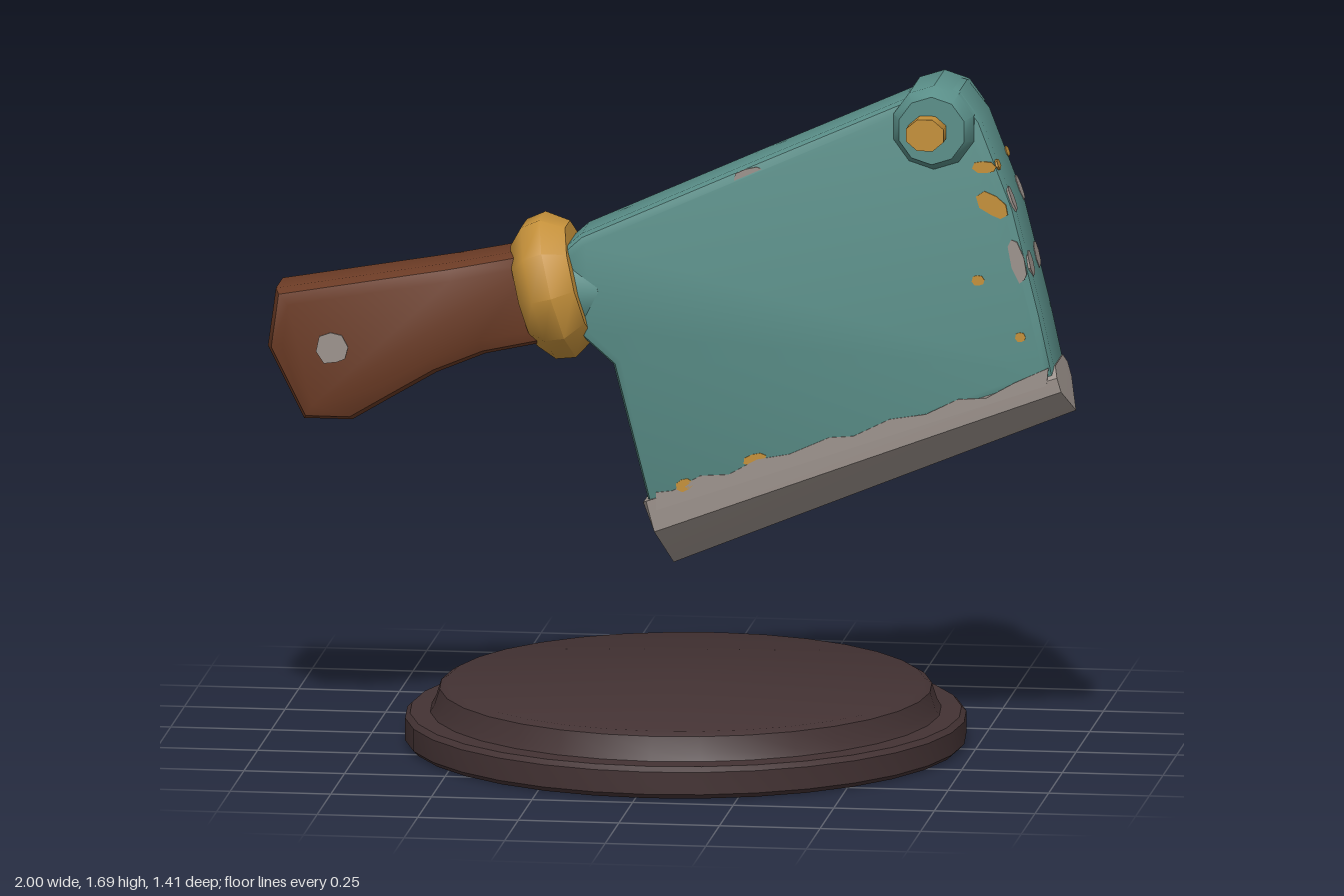
import * as THREE from 'three';
import { toCreasedNormals } from 'three/addons/utils/BufferGeometryUtils.js';
import { ConvexGeometry } from 'three/addons/geometries/ConvexGeometry.js';

const material = (name, color) => {
  const m = new THREE.MeshStandardMaterial({ color });
  m.name = name;
  return m;
};

export function createModel() {
  const model = new THREE.Group();
  const teal = material('tealPaint', 0x5a8f89);
  const steel = material('bareSteel', 0x9c928c);
  const gold = material('gold', 0xc4903a);
  const wood = material('brownWood', 0x6b3b25);
  const dark = material('darkWood', 0x433233);

  const add = (name, geometry, mat, crease = 0.7) => {
    const mesh = new THREE.Mesh(toCreasedNormals(geometry, crease), mat);
    mesh.name = name;
    model.add(mesh);
    return mesh;
  };
  const shapeOf = (pts) => new THREE.Shape(pts.map(([x, y]) => new THREE.Vector2(x, y)));
  const lathe = (pts, sides) =>
    new THREE.LatheGeometry(pts.map(([r, y]) => new THREE.Vector2(r, y)), sides);
  // Solid slab with softened rims, centred on z = 0, that keeps its outline
  const slab = (pts, half, bevel, steps) => {
    const g = new THREE.ExtrudeGeometry(shapeOf(pts), {
      depth: 2 * (half - bevel), bevelThickness: bevel, bevelSize: bevel,
      bevelOffset: -bevel, bevelSegments: steps,
    });
    return g.translate(0, 0, bevel - half);
  };

  // Stepped round stand
  const stand = add('stand', lathe([
    [0, 0], [0.68, 0], [0.692, 0.012], [0.692, 0.068], [0.68, 0.08], [0.63, 0.082],
    [0.62, 0.1], [0.607, 0.14], [0.59, 0.15], [0, 0.15],
  ], 32), dark, 0.6);
  stand.position.x = 0.03;
  stand.scale.z = 1.02;

  // Painted blade
  add('blade', slab([
    [-0.045, 0.59], [0.96, 0.96], [0.925, 1.12], [0.86, 1.38], [0.775, 1.6], [0.72, 1.67],
    [0.65, 1.682], [0.58, 1.645], [0.2, 1.475], [-0.22, 1.285], [-0.27, 1.24],
    [-0.22, 1.03], [-0.14, 0.96],
  ], 0.098, 0.025, 2), teal);

  // Flared neck where the blade meets the guard
  const neck = add('bladeNeck', new THREE.CylinderGeometry(0.1, 0.13, 0.08, 10), teal);
  neck.position.set(-0.215, 1.14, 0);
  neck.rotation.z = -Math.PI / 2 + 0.24;

  // Wedge-shaped cutting edge
  const edgePoints = [[0, 0.45], [1, 0.86]].map(([x, y]) => new THREE.Vector3(x, y, 0));
  for (const s of [-1, 1]) {
    for (const [x, y, z] of [
      [-0.065, 0.615, 0.08], [-0.055, 0.622, 0.1], [-0.035, 0.545, 0.098],
      [0.958, 0.985, 0.07], [0.966, 0.96, 0.1], [0.976, 0.925, 0.098],
    ]) edgePoints.push(new THREE.Vector3(x, y, z * s));
  }
  add('cuttingEdge', new ConvexGeometry(edgePoints), steel, 0.5);

  // Ragged paint line above the cutting edge, on both faces
  const ragged = [
    [-0.03, 0.6], [0.94, 0.94], [0.945, 0.985], [0.86, 0.945], [0.79, 0.905], [0.72, 0.9],
    [0.64, 0.86], [0.55, 0.845], [0.46, 0.8], [0.4, 0.795], [0.3, 0.75], [0.22, 0.735],
    [0.15, 0.695], [0.08, 0.69], [0.01, 0.65], [-0.03, 0.645],
  ];
  for (const s of [-1, 1]) {
    const g = new THREE.ExtrudeGeometry(shapeOf(ragged), { depth: 0.004, bevelEnabled: false });
    add('paintLine', g, steel).position.z = s * 0.099 - 0.002;
  }

  // Corner boss and the pin through it
  const boss = add('cornerBoss', lathe([
    [0, -0.142], [0.085, -0.142], [0.105, -0.1], [0.105, 0.1], [0.085, 0.142], [0, 0.142],
  ], 10).rotateX(Math.PI / 2), teal, 0.6);
  boss.position.set(0.66, 1.582, 0);
  const pin = add('cornerPin', new THREE.CylinderGeometry(0.05, 0.05, 0.38, 8, 1)
    .rotateY(Math.PI / 8).rotateX(Math.PI / 2), gold, 0.9);
  pin.position.set(0.65, 1.58, 0);
  pin.scale.y = 0.85;

  // Gold guard ring
  const guard = add('guard', lathe([
    [0, -0.075], [0.135, -0.075], [0.178, -0.035], [0.186, 0.015], [0.15, 0.07], [0, 0.075],
  ], 10), gold, 0.9);
  guard.position.set(-0.295, 1.137, 0);
  guard.rotation.z = -Math.PI / 2 + 0.26;

  // Wooden handle
  add('handle', slab([
    [-0.91, 0.8], [-0.79, 0.8], [-0.69, 0.86], [-0.58, 0.925], [-0.46, 0.975], [-0.3, 1.01],
    [-0.3, 1.25], [-0.55, 1.2], [-0.98, 1.125], [-1, 0.98],
  ], 0.102, 0.04, 2), wood);

  // Thin irregular chips of worn paint
  const blob = [[1, 0.1], [0.6, 0.8], [-0.1, 0.95], [-0.8, 0.7], [-1, -0.2], [-0.5, -0.9], [0.3, -0.8], [0.8, -0.6]];
  const chip = (name, mat, w, h, x, y, z, ry = 0, rz = 0) => {
    const g = new THREE.ExtrudeGeometry(shapeOf(blob.map(([a, b]) => [a * w, b * h])), {
      depth: 0.006, bevelEnabled: false,
    });
    g.translate(0, 0, -0.003);
    const mesh = add(name, g, mat);
    mesh.position.set(x, y, z);
    mesh.rotation.set(0, ry, rz, 'ZYX');
  };
  for (const s of [-1, 1]) {
    const z = s * 0.098;
    for (const [w, h, x, y, rz] of [
      [0.03, 0.016, 0.785, 1.485, 0], [0.045, 0.026, 0.805, 1.39, -0.6],
      [0.016, 0.014, 0.77, 1.2, 0], [0.013, 0.013, 0.875, 1.06, 0],
      [0.03, 0.014, 0.215, 0.735, 0.3], [0.022, 0.016, 0.04, 0.665, 0.4],
    ]) chip('goldChip', gold, w, h, x, y, z, 0, rz);
    chip('steelChip', steel, 0.018, 0.06, 0.868, 1.25, z, 0, 0.25);
    // Chips on the narrow front end of the blade
    chip('endSteelChip', steel, 0.022, 0.035, 0.85, 1.402, s * 0.068, Math.PI / 2, 0.36);
    chip('endGoldChip', gold, 0.02, 0.014, 0.817, 1.49, s * 0.08, Math.PI / 2, 0.37);
    chip('endSteelChip', steel, 0.03, 0.035, 0.894, 1.238, s * 0.055, Math.PI / 2, 0.245);
  }
  chip('spineChip', steel, 0.04, 0.016, 0.2, 1.45, 0.094, 0, 0.3);
  chip('spineChip', steel, 0.025, 0.012, 0.25, 1.472, -0.094, 0, 0.3);
  chip('handleChip', steel, 0.04, 0.042, -0.835, 0.985, 0.103);

  return model;
}
